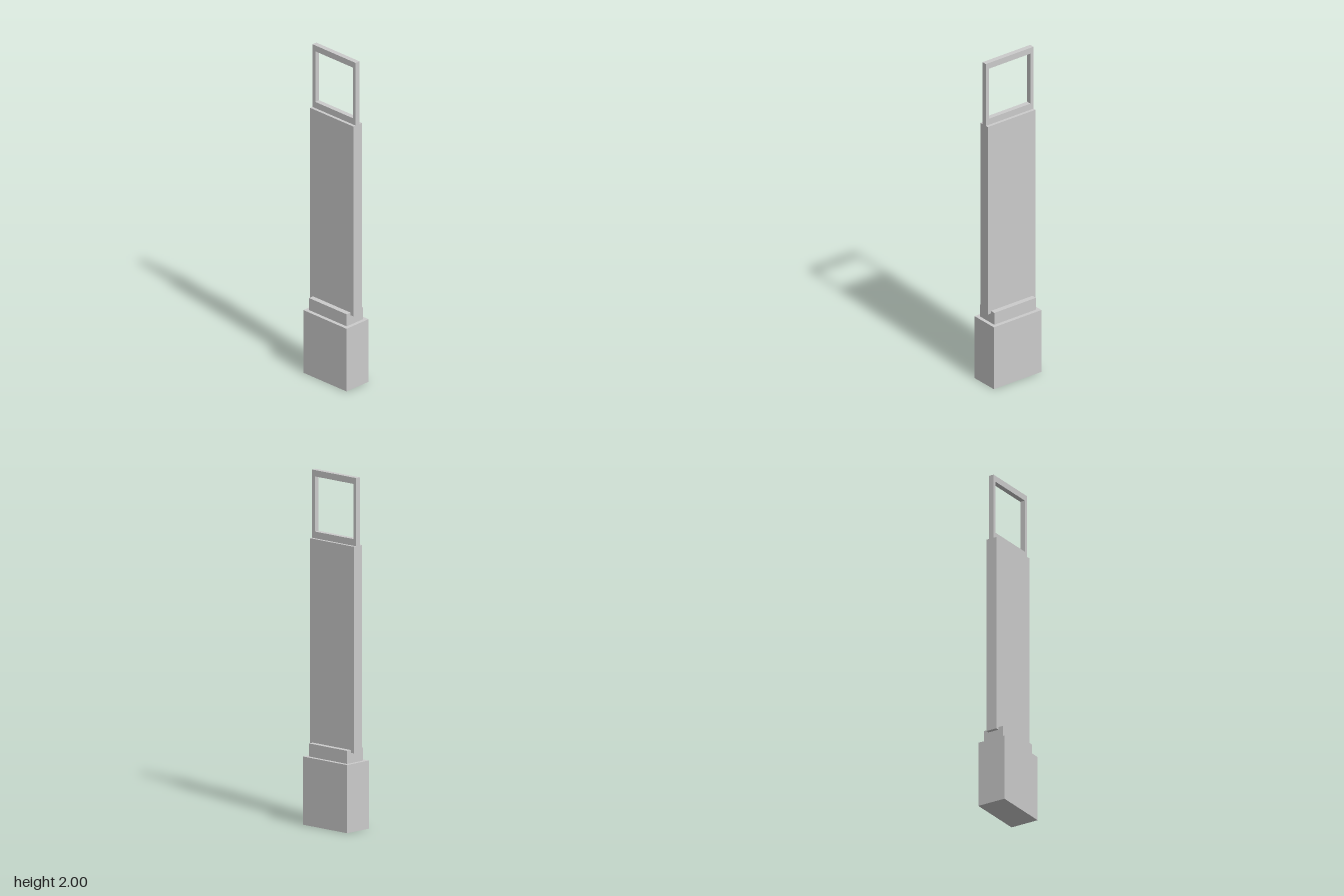
import * as THREE from 'three';

const material = new THREE.MeshStandardMaterial({ color: 0xcccccc, flatShading: true });

export function createModel() {
  const model = new THREE.Group();
  model.name = 'framedTower';

  // Centred box spanning y0 to y1
  const block = (name, width, depth, y0, y1) => {
    const mesh = new THREE.Mesh(new THREE.BoxGeometry(width, y1 - y0, depth), material);
    mesh.name = name;
    mesh.position.y = (y0 + y1) / 2;
    model.add(mesh);
  };

  const depth = 0.337;
  block('base', 0.173, depth, 0, 0.386);
  block('collar', 0.128, 0.294, 0.386, 0.46);
  block('shaft', 0.066, depth, 0.444, 1.614);

  // Open rectangular frame on top, drawn in the z-y plane
  const rect = (path, halfWidth, y0, y1) => path
    .moveTo(-halfWidth, y0).lineTo(halfWidth, y0)
    .lineTo(halfWidth, y1).lineTo(-halfWidth, y1).closePath();
  const outline = new THREE.Shape();
  rect(outline, depth / 2, 1.614, 2);
  const opening = new THREE.Path();
  rect(opening, 0.147, 1.652, 1.964);
  outline.holes.push(opening);

  const thickness = 0.03;
  const frameGeometry = new THREE.ExtrudeGeometry(outline, { depth: thickness, bevelEnabled: false });
  frameGeometry.translate(0, 0, -thickness / 2).rotateY(Math.PI / 2);
  const frame = new THREE.Mesh(frameGeometry, material);
  frame.name = 'topFrame';
  model.add(frame);

  return model;
}
